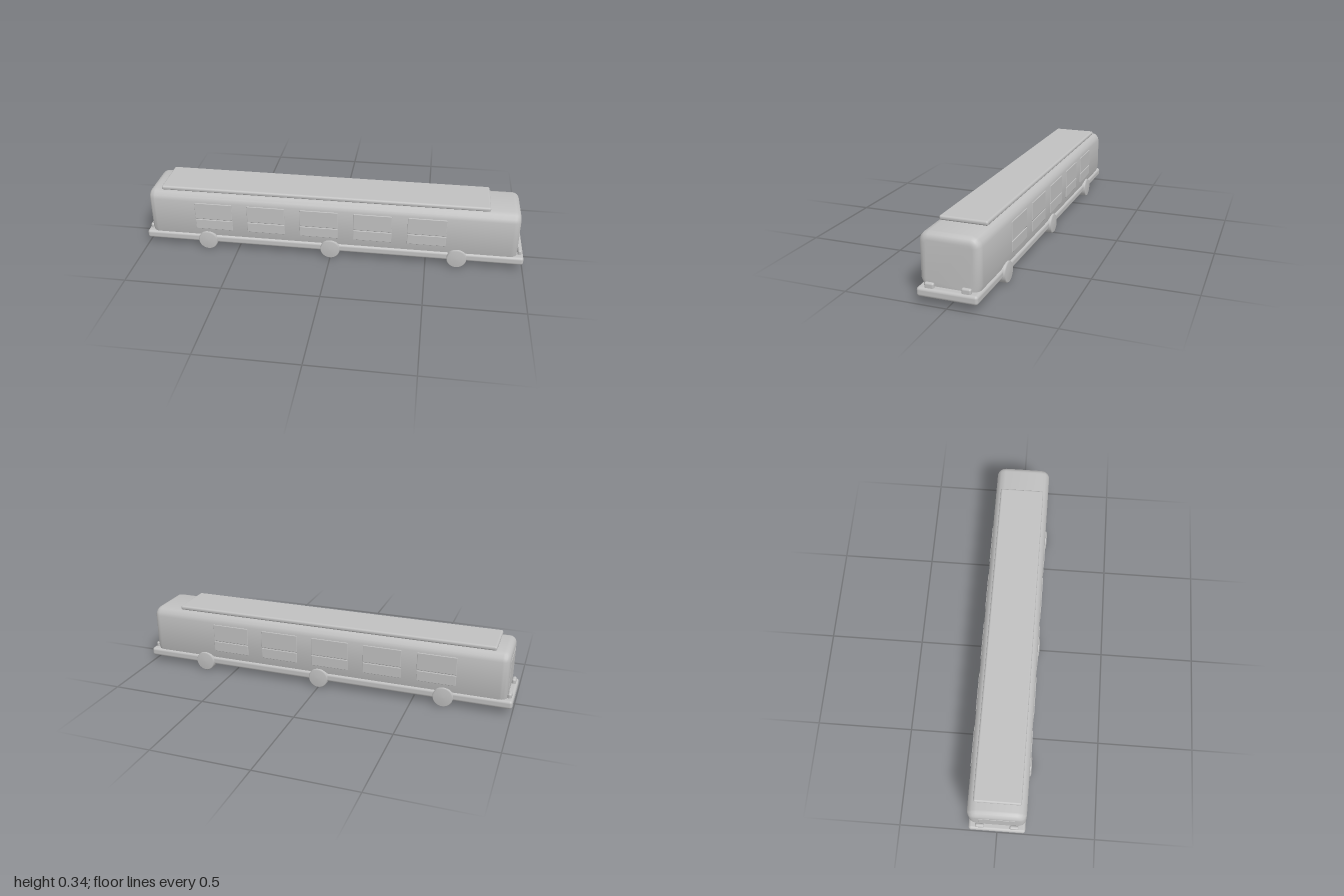
import * as THREE from 'three';
import { toCreasedNormals } from 'three/addons/utils/BufferGeometryUtils.js';
import { RoundedBoxGeometry } from 'three/addons/geometries/RoundedBoxGeometry.js';

export function createModel() {
  const model = new THREE.Group();
  model.name = 'bus';
  const grey = new THREE.MeshStandardMaterial({ color: 0xc0c0c0 });
  grey.name = 'plain grey';

  const add = (name, geometry, x = 0, y = 0, z = 0) => {
    const mesh = new THREE.Mesh(geometry, grey);
    mesh.name = name;
    mesh.position.set(x, y, z);
    model.add(mesh);
    return mesh;
  };
  // Rounded block given by its limits on each axis
  const block = (name, [x0, x1], [y0, y1], [z0, z1], radius) =>
    add(name, new RoundedBoxGeometry(x1 - x0, y1 - y0, z1 - z0, 3, radius),
      (x0 + x1) / 2, (y0 + y1) / 2, (z0 + z1) / 2);

  // Body: cross-section run along x, with rounded ends
  const half = [[0.132, 0.042], [0.135, 0.08], [0.145, 0.105], [0.145, 0.28],
    [0.139, 0.3], [0.123, 0.317], [0.1, 0.324]];
  const section = new THREE.Shape([...half, ...half.map(([z, y]) => [-z, y]).reverse()]
    .map(([z, y]) => new THREE.Vector2(z, y)));
  const length = 1.935, round = 0.035;
  const body = new THREE.ExtrudeGeometry(section, {
    depth: length - 2 * round, bevelEnabled: true, bevelThickness: round,
    bevelSize: round, bevelOffset: -round, bevelSegments: 6,
  });
  body.translate(0, 0, -(length - 2 * round) / 2).rotateY(Math.PI / 2);
  add('body', toCreasedNormals(body, 0.7), -0.0025);

  // Chassis, roof panel and rear panel
  block('chassis', [-1, 1], [0.035, 0.079], [-0.144, 0.144], 0.014);
  block('roofPanel', [-0.9, 0.81], [0.322, 0.345], [-0.117, 0.117], 0.01);
  block('rearPanel', [-0.972, -0.964], [0.12, 0.27], [-0.09, 0.09], 0.003);

  // Windows: a tall upper pane and a short lower pane, on both sides
  for (const side of [-1, 1]) {
    const depth = [Math.min(side * 0.139, side * 0.148), Math.max(side * 0.139, side * 0.148)];
    for (let i = 0; i < 5; i++) {
      const x = -0.62 + i * 0.28;
      block('upperWindow', [x - 0.1, x + 0.1], [0.18, 0.273], depth, 0.003);
      block('lowerWindow', [x - 0.1, x + 0.1], [0.12, 0.176], depth, 0.003);
    }
  }

  // Lamps standing on the chassis at both ends
  for (const end of [-1, 1]) {
    for (const z of [-0.087, 0.087]) {
      block('lamp', [end * 0.98 - 0.01, end * 0.98 + 0.01], [0.066, 0.103], [z - 0.023, z + 0.023], 0.009);
    }
  }

  // Wheels: three smooth axles' worth, with softened rims
  const profile = [[0, -0.0205], [0.05, -0.0205], [0.0515, -0.019], [0.0515, 0.015], [0.047, 0.0205], [0, 0.0215]]
    .map(([r, h]) => new THREE.Vector2(r, h));
  const wheel = new THREE.LatheGeometry(profile, 32);
  for (const x of [-0.66, 0, 0.66]) {
    for (const side of [-1, 1]) {
      add('wheel', wheel, x, 0.0515, side * 0.135).rotation.x = side * Math.PI / 2;
    }
  }
  return model;
}
